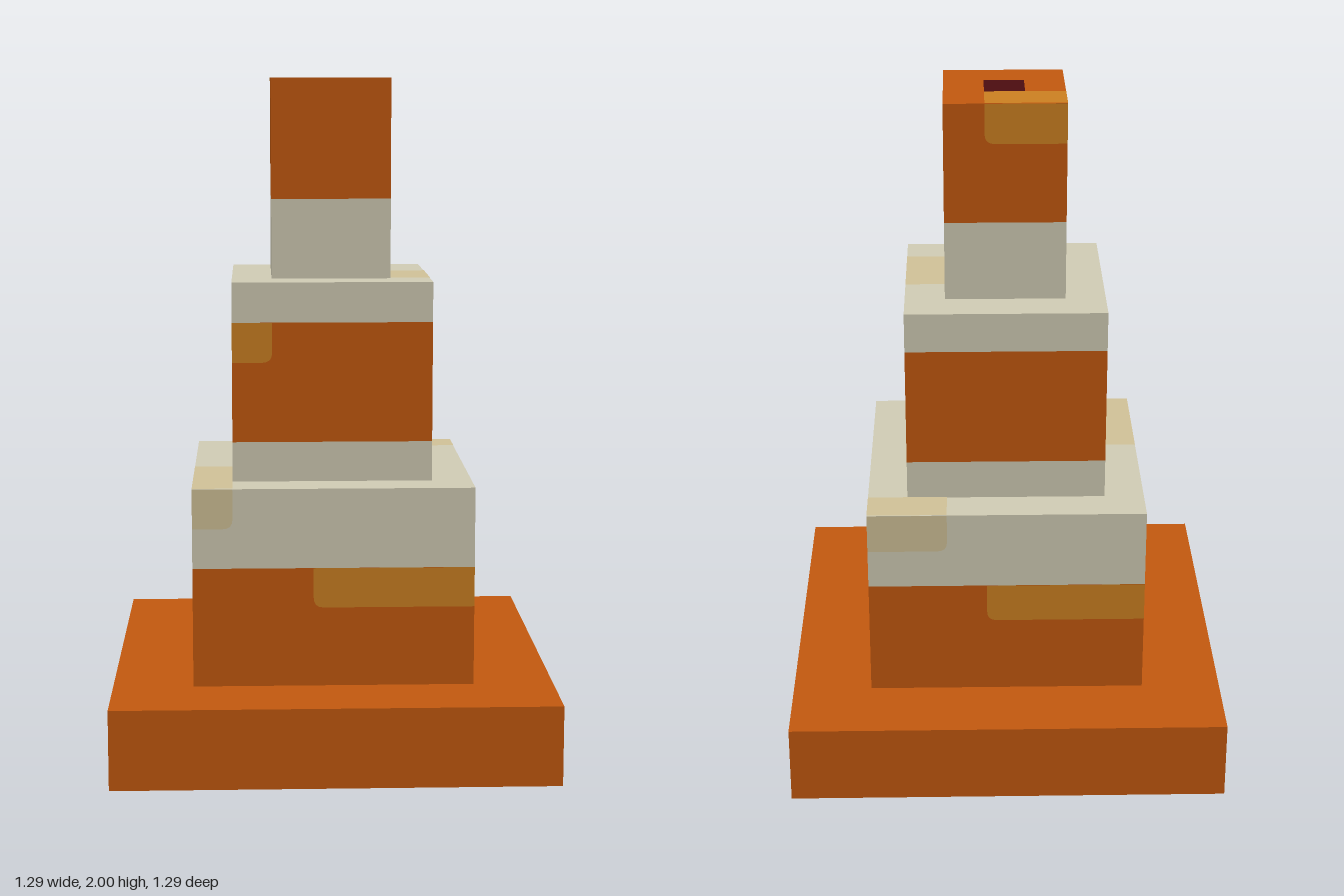
import * as THREE from 'three';

const U = 2 / 17; // block unit: the cone is 17 units tall

const material = (name, color) => {
  const m = new THREE.MeshStandardMaterial({ color });
  m.name = name;
  return m;
};

// Flat panel, optionally rounded at its lower corners
function panelShape(u0, u1, v0, v1, rLeft, rRight) {
  const s = new THREE.Shape();
  s.moveTo(u0, v1);
  s.lineTo(u0, v0 + rLeft);
  if (rLeft) s.quadraticCurveTo(u0, v0, u0 + rLeft, v0);
  s.lineTo(u1 - rRight, v0);
  if (rRight) s.quadraticCurveTo(u1, v0, u1, v0 + rRight);
  s.lineTo(u1, v1);
  s.closePath();
  return s;
}

export function createModel() {
  const orange = material('orange', 0xc1580e);
  const cream = material('cream', 0xcfcab3);
  const amber = material('worn orange', 0xca7f21);
  const tan = material('worn cream', 0xcfc096);
  const dark = material('dark hole', 0x4b0c10);

  const model = new THREE.Group();
  model.name = 'trafficCone';

  // Stacked square bands: name, half width, bottom, top, material
  const bands = [
    ['base', 5.5, 0, 2, orange],
    ['lowerTierBody', 3.5, 2, 5, orange],
    ['lowerTierStripe', 3.5, 5, 7, cream],
    ['middleTierLowerStripe', 2.5, 7, 8, cream],
    ['middleTierBody', 2.5, 8, 11, orange],
    ['middleTierUpperStripe', 2.5, 11, 12, cream],
    ['topTierStripe', 1.5, 12, 14, cream],
    ['topTierBody', 1.5, 14, 17, orange],
  ];
  for (const [name, half, y0, y1, mat] of bands) {
    const mesh = new THREE.Mesh(new THREE.BoxGeometry(2 * half * U, (y1 - y0) * U, 2 * half * U), mat);
    mesh.position.y = (y0 + y1) / 2 * U;
    mesh.name = name;
    model.add(mesh);
  }

  // Painted panel on a face; u runs right and v up as seen from outside
  const lift = 0.002;
  function addPanel(name, side, distance, mat, u0, u1, v0, v1, radius) {
    const r = (u) => (Math.abs(u) < distance ? radius : 0);
    const shape = panelShape(u0 * U, u1 * U, v0 * U, v1 * U, r(u0) * U, r(u1) * U);
    const geometry = new THREE.ShapeGeometry(shape, 4);
    geometry.translate(0, 0, distance * U + lift);
    if (side === 'top') geometry.rotateX(-Math.PI / 2);
    else geometry.rotateY({ front: 0, left: Math.PI / 2, back: Math.PI, right: -Math.PI / 2 }[side]);
    const mesh = new THREE.Mesh(geometry, mat);
    mesh.name = name;
    model.add(mesh);
  }

  // Worn patches: face, distance from centre, material, u0, u1, v0, v1, corner radius
  const patches = [
    ['front', 2.5, amber, -2.5, -1.5, 10, 11, 0.25],
    ['front', 3.5, tan, -3.5, -2.5, 6, 7, 0.25],
    ['front', 3.5, amber, -0.5, 3.5, 4, 5, 0.25],
    ['left', 2.5, tan, -1.5, 0.5, 11, 12, 0],
    ['left', 2.5, amber, -0.5, 2.5, 10, 11, 0.25],
    ['left', 3.5, tan, 2.5, 3.5, 6, 7, 0.25],
    ['back', 1.5, amber, -0.5, 1.5, 16, 17, 0.25],
    ['back', 3.5, tan, -3.5, -1.5, 6, 7, 0.25],
    ['back', 3.5, amber, -0.5, 3.5, 4, 5, 0.25],
    ['right', 1.5, amber, -1.5, -0.5, 16, 17, 0.25],
    ['right', 2.5, amber, 0.5, 2.5, 10, 11, 0.25],
    ['right', 3.5, tan, 0.5, 3.5, 6, 7, 0.25],
    ['top', 7, tan, 1.5, 3.5, 2.5, 3.5, 0],
    ['top', 7, tan, -3.5, -2.5, -3.5, -0.5, 0],
    ['top', 12, tan, 1.5, 2.5, -1.5, 0.5, 0],
    ['top', 17, amber, -1.5, 0.5, 0.5, 1.5, 0],
  ];
  for (const [side, ...rest] of patches) addPanel(`${side}WornPatch`, side, ...rest);

  // Dark opening at the tip
  addPanel('tipHole', 'top', 17, dark, -0.5, 0.5, -0.5, 0.5, 0);

  return model;
}
